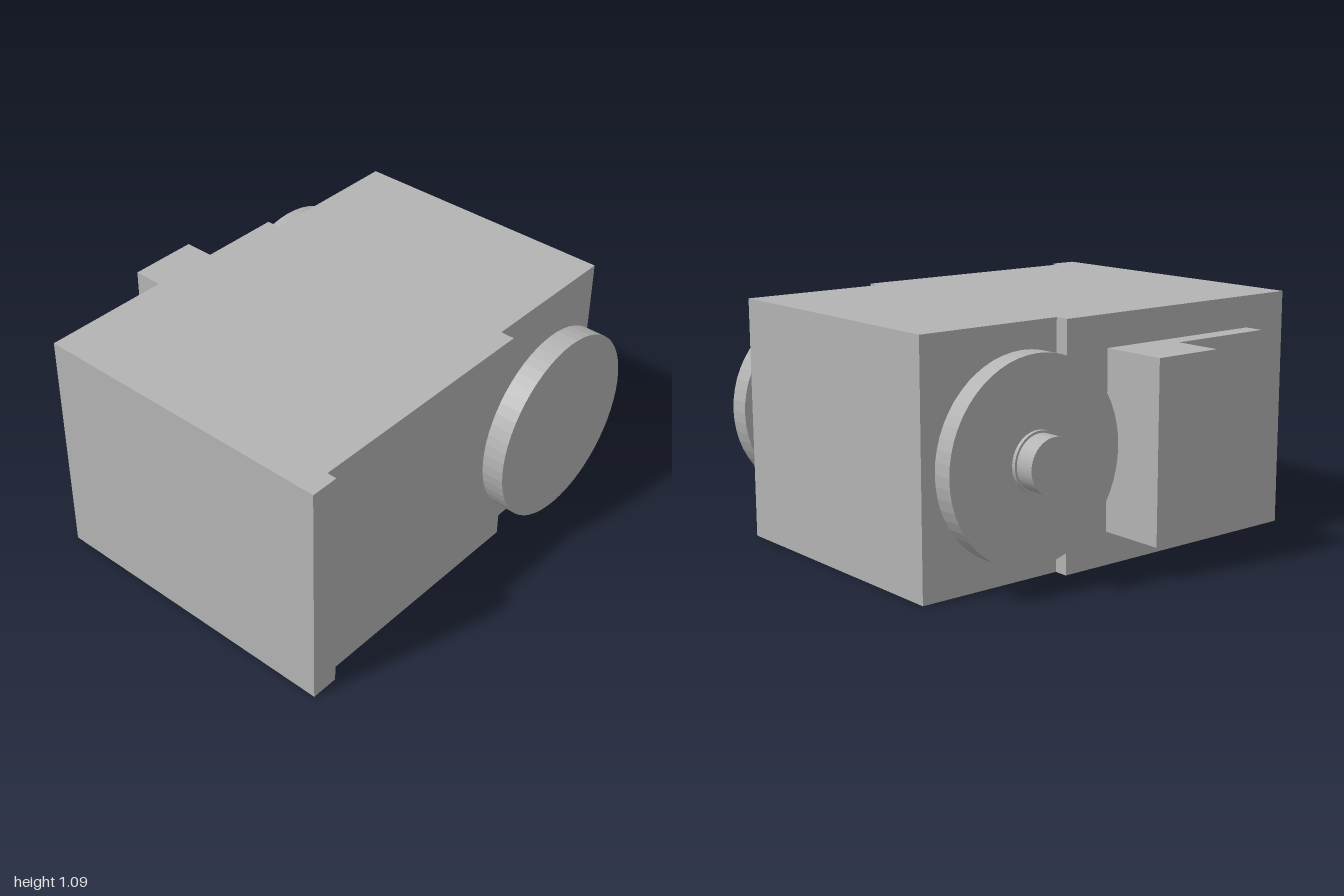
import * as THREE from 'three';

const grey = new THREE.MeshStandardMaterial({ color: 0xb3b3b3, flatShading: true });
grey.name = 'light grey';

// Extrudes an outline of [x, z] points upwards from y0 to y1.
function prism(name, outline, y0, y1) {
  const shape = new THREE.Shape(outline.map(([x, z]) => new THREE.Vector2(x, -z)));
  const geometry = new THREE.ExtrudeGeometry(shape, { depth: y1 - y0, bevelEnabled: false });
  geometry.rotateX(-Math.PI / 2).translate(0, y0, 0);
  const mesh = new THREE.Mesh(geometry, grey);
  mesh.name = name;
  return mesh;
}

// Cylinder along z between z0 and z1, on the shaft axis.
function disc(name, radius, z0, z1) {
  const geometry = new THREE.CylinderGeometry(radius, radius, Math.abs(z1 - z0), 56);
  geometry.rotateX(Math.PI / 2);
  const mesh = new THREE.Mesh(geometry, grey);
  mesh.name = name;
  mesh.position.z = (z0 + z1) / 2;
  return mesh;
}

export function createModel() {
  const model = new THREE.Group();
  model.name = 'servoMotor';

  // Housing with a front lip and recesses behind both wheels
  model.add(prism('housing', [
    [-1, 0.835], [-0.87, 0.835], [-0.87, 0.79], [0.305, 0.79], [0.305, 0.725], [1, 0.725],
    [1, -0.555], [0.305, -0.555], [0.305, -0.62], [-1, -0.62],
  ], 0, 1.09));

  // Stepped connector block on the back
  model.add(prism('connectorBlock', [
    [-0.765, -0.61], [0.08, -0.61], [0.08, -0.93], [-0.25, -0.93], [-0.25, -0.71], [-0.765, -0.71],
  ], 0.15, 0.945));

  // Coaxial wheels, hubs and shaft: name, radius, z range
  const shaft = new THREE.Group();
  shaft.name = 'shaftAssembly';
  shaft.position.set(0.545, 0.55, 0);
  [
    ['frontCollar', 0.13, 0.715, 0.75],
    ['frontHub', 0.197, 0.75, 0.82],
    ['frontWheel', 0.44, 0.82, 0.925],
    ['backCollar', 0.13, -0.545, -0.585],
    ['backHub', 0.197, -0.585, -0.625],
    ['backWheel', 0.44, -0.625, -0.718],
    ['pinCollar', 0.13, -0.718, -0.735],
    ['backPin', 0.12, -0.735, -0.825],
  ].forEach((part) => shaft.add(disc(...part)));
  model.add(shaft);

  return model;
}
